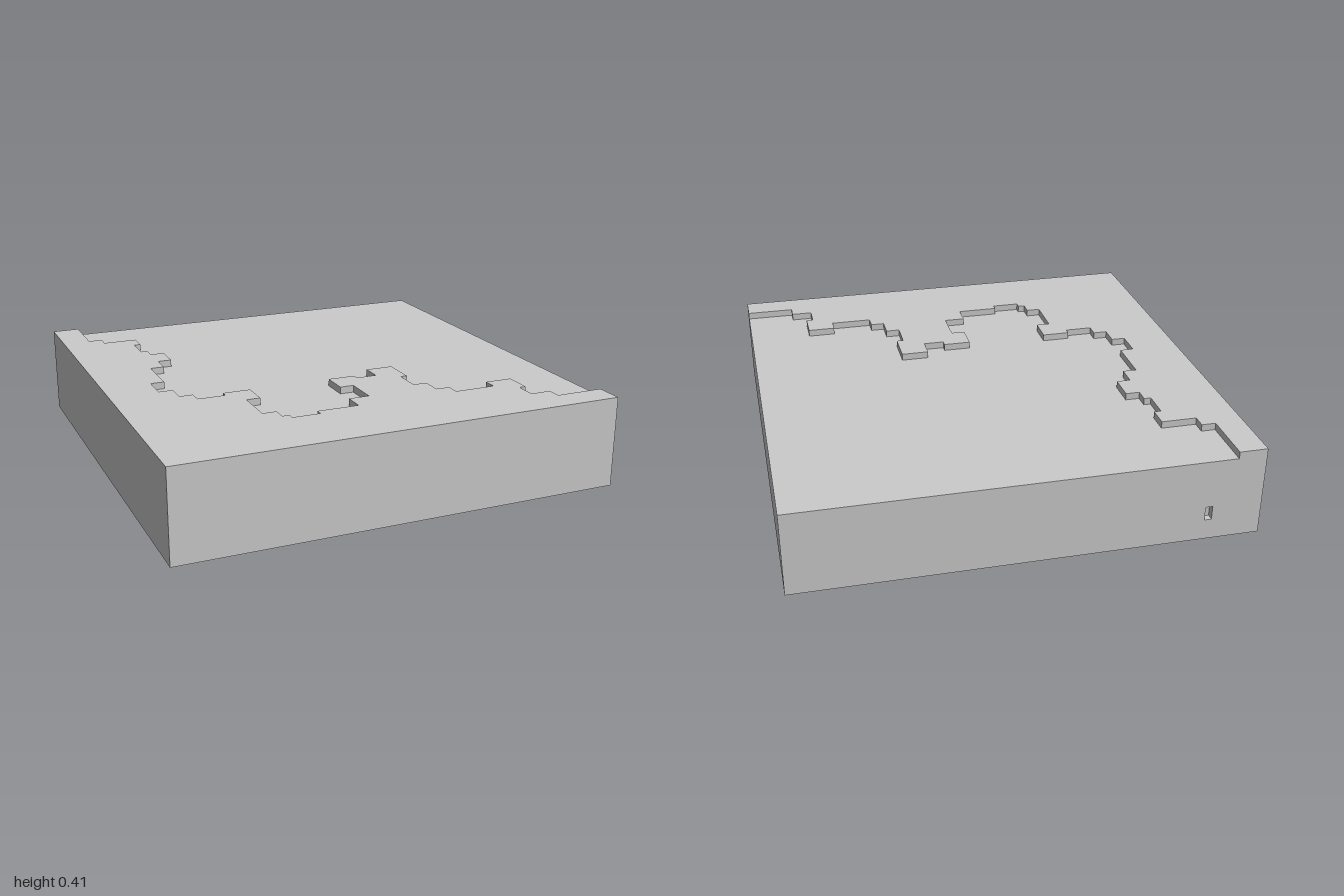
import * as THREE from 'three';

// The whole model sits on a grid of 64 cells across two units
const CELL = 1 / 32;
const SLAB_TOP = 12, TERRACE_TOP = 13;

// Stepped edge of the terrace: corners alternate between a move in z and a move in x
const EDGE_START = [-28, -32];
const EDGE_MOVES = [
  -24, -26, -22, -21, -19, -22, -15, -21, -13, -19, -9, -21, -6, -23, 1, -25, 5, -23, 8, -21,
  10, -17, 9, -13, 13, -15, 19, -13, 21, -12, 22, -8, 21, -2, 18, 1, 13, -1, 9, 3,
  10, 6, 7, 10, 12, 9, 16, 11, 19, 13, 21, 19, 19, 23, 23, 22, 26, 25, 28, 32,
];

function outline(corners, Type = THREE.Shape) {
  return new Type(corners.map(([a, b]) => new THREE.Vector2(a * CELL, b * CELL)));
}

function rect(x0, y0, x1, y1) {
  return [[x0, y0], [x1, y0], [x1, y1], [x0, y1]];
}

function extrude(shape, cells) {
  return new THREE.ExtrudeGeometry(shape, { depth: cells * CELL, bevelEnabled: false });
}

export function createModel() {
  const group = new THREE.Group();
  const material = new THREE.MeshStandardMaterial({ color: 0xcccccc, flatShading: true });
  const add = (name, geometry) => {
    const mesh = new THREE.Mesh(geometry, material);
    mesh.name = name;
    group.add(mesh);
  };

  // Main slab, all but its rearmost layer
  const slab = extrude(outline(rect(-32, 0, 32, SLAB_TOP)), 63);
  slab.translate(0, 0, -31 * CELL);
  add('slab', slab);

  // Rear layer with a small slot cut through to the slab
  const wall = outline(rect(-32, 0, 32, SLAB_TOP));
  wall.holes.push(outline(rect(-25, 3, -24, 5), THREE.Path));
  const backWall = extrude(wall, 1);
  backWall.translate(0, 0, -32 * CELL);
  add('backWall', backWall);

  // Raised terrace with the stepped edge, closed around the front corners
  const corners = [EDGE_START];
  let [x, z] = EDGE_START;
  EDGE_MOVES.forEach((value, i) => {
    if (i % 2) x = value;
    else z = value;
    corners.push([x, z]);
  });
  corners.push([32, 32], [-32, 32], [-32, -32]);
  const terrace = extrude(outline(corners), TERRACE_TOP - SLAB_TOP);
  terrace.rotateX(Math.PI / 2);
  terrace.translate(0, TERRACE_TOP * CELL, 0);
  add('raisedTerrace', terrace);

  return group;
}
